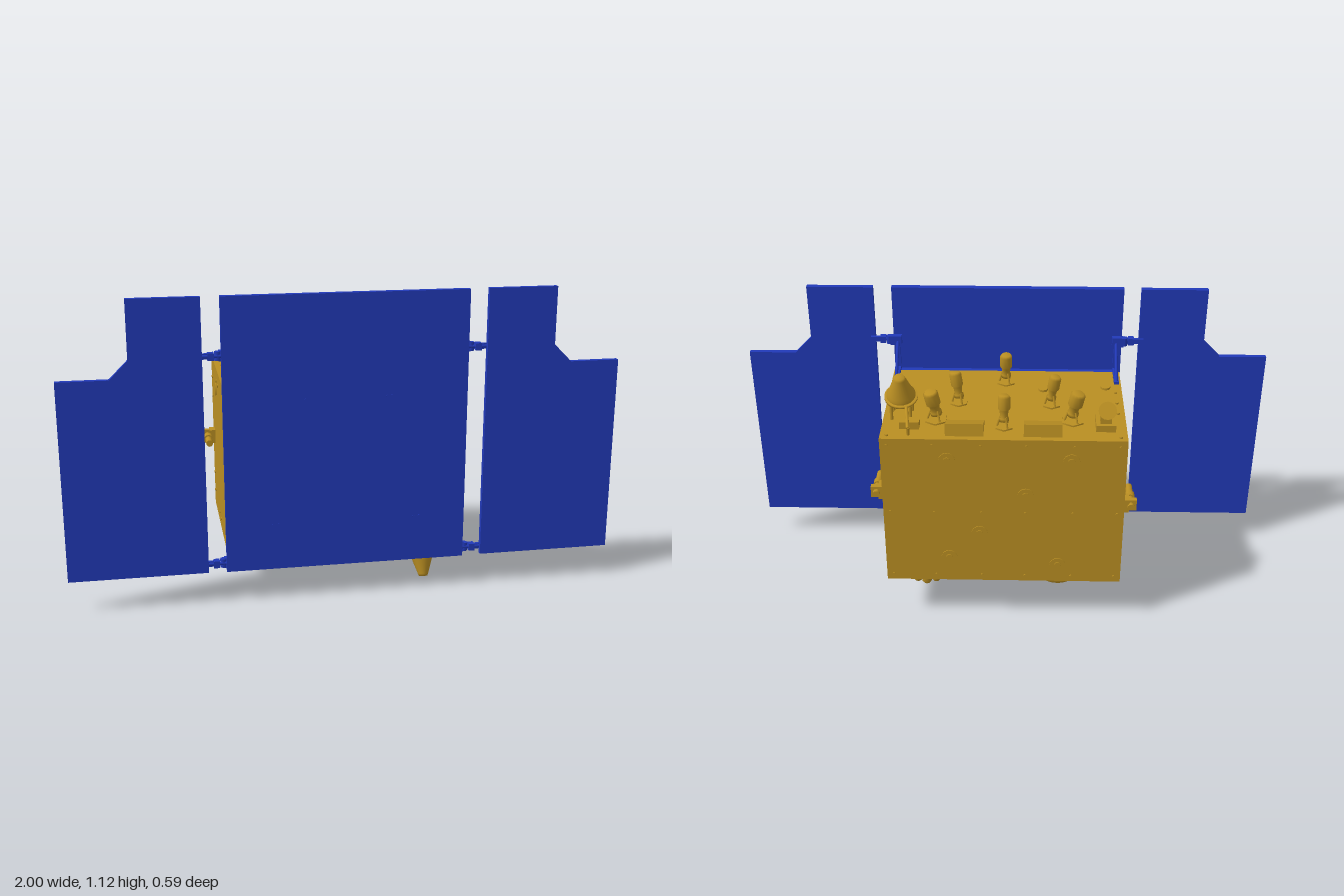
import * as THREE from 'three';

export function createModel() {
  const root = new THREE.Group();
  const gold = new THREE.MeshStandardMaterial({ color: 0xb98e22 });
  const blue = new THREE.MeshStandardMaterial({ color: 0x2139b8 });
  gold.name = 'gold foil';
  blue.name = 'solar blue';
  const V = (x, y, z) => new THREE.Vector3(x, y, z);
  const UP = V(0, 1, 0);

  function add(parent, name, geo, mat) {
    const m = new THREE.Mesh(geo, mat);
    m.name = name;
    parent.add(m);
    return m;
  }
  function group(name) {
    const g = new THREE.Group();
    g.name = name;
    root.add(g);
    return g;
  }
  // box given by its limits
  function box(parent, name, mat, x0, x1, y0, y1, z0, z1) {
    const m = add(parent, name, new THREE.BoxGeometry(x1 - x0, y1 - y0, z1 - z0), mat);
    m.position.set((x0 + x1) / 2, (y0 + y1) / 2, (z0 + z1) / 2);
    return m;
  }
  // cylinder or cone frustum from point a to point b
  function rod(parent, name, mat, a, b, ra, rb = ra, seg = 12) {
    const d = b.clone().sub(a);
    const m = add(parent, name, new THREE.CylinderGeometry(rb, ra, d.length(), seg), mat);
    m.position.copy(a).addScaledVector(d, 0.5);
    m.quaternion.setFromUnitVectors(UP, d.normalize());
    return m;
  }
  // revolved profile whose axis starts at p and points along dir
  function lathe(parent, name, mat, pts, p, dir, seg = 24) {
    const m = add(parent, name, new THREE.LatheGeometry(pts.map(q => new THREE.Vector2(...q)), seg), mat);
    m.position.copy(p);
    m.quaternion.setFromUnitVectors(UP, dir.clone().normalize());
    return m;
  }

  // main body
  const TOP = 0.785, BOT = 0.175;
  box(root, 'body', gold, -0.435, 0.435, BOT, TOP, -0.293, 0.235);

  // centre solar panel and the sheet behind it
  box(root, 'centrePanel', blue, -0.44, 0.435, 0.115, 1.115, 0.265, 0.289);
  box(root, 'frontSheet', blue, -0.41, 0.41, 0.162, TOP, 0.235, 0.254);
  const fasteners = group('panelFasteners');
  for (const [x, y] of [[-0.16, 0.745], [0.15, 0.745], [-0.26, 0.285], [0.255, 0.285]])
    for (const dx of [-0.01, 0.01])
      rod(fasteners, 'fastener', blue, V(x + dx, y, 0.288), V(x + dx, y, 0.291), 0.004, 0.004, 8);

  for (const s of [1, -1]) {
    const side = s > 0 ? 'left' : 'right';
    // stepped wing panel
    const shape = new THREE.Shape([[0.505, 0.115], [1, 0.115], [1, 0.84], [0.82, 0.84],
      [0.755, 0.905], [0.755, 1.115], [0.505, 1.115]].map(([x, y]) => new THREE.Vector2(s * x, y)));
    const wing = add(root, side + 'Wing', new THREE.ExtrudeGeometry(shape, { depth: 0.02, bevelEnabled: false }), blue);
    wing.position.z = 0.265;

    // hinges joining wing and centre panel
    const hinges = group(side + 'Hinges');
    for (const y of [0.905, 0.14]) {
      rod(hinges, 'hingePin', blue, V(s * 0.43, y, 0.264), V(s * 0.515, y, 0.264), 0.007);
      rod(hinges, 'hingeBarrel', blue, V(s * 0.45, y - 0.016, 0.258), V(s * 0.45, y + 0.016, 0.258), 0.012);
      box(hinges, 'hingeBlock', blue, s * 0.475 - 0.011, s * 0.475 + 0.011, y - 0.013, y + 0.013, 0.25, 0.277);
      box(hinges, 'hingePlate', blue, s * 0.50 - 0.022, s * 0.50 + 0.022, y - 0.01, y + 0.01, 0.255, 0.267);
      box(hinges, 'hingeFoot', blue, s * 0.425 - 0.022, s * 0.425 + 0.022, y - 0.018, y + 0.018, 0.243, 0.267);
    }

    // triangular brackets above and below the body
    const br = group(side + 'Bracket');
    const x = s * 0.418;
    box(br, 'post', blue, x - 0.009, x + 0.009, 0.125, 0.915, 0.243, 0.255);
    box(br, 'topRail', blue, x - 0.009, x + 0.009, TOP, 0.797, 0.13, 0.255);
    box(br, 'bottomRail', blue, x - 0.009, x + 0.009, 0.16, BOT, 0.18, 0.255);
    rod(br, 'topStrut', blue, V(x, 0.9, 0.247), V(x, 0.79, 0.135), 0.006, 0.006, 8);
    rod(br, 'bottomStrut', blue, V(x, 0.122, 0.255), V(x, 0.168, 0.182), 0.005, 0.005, 8);

    // instrument arm on the side wall
    const arm = group(side + 'SideArm');
    const y = s > 0 ? 0.525 : 0.48;
    box(arm, 'armMount', gold, s * 0.445 - 0.012, s * 0.445 + 0.012, y - 0.026, y + 0.026, -0.242, -0.195);
    box(arm, 'armHead', gold, s * 0.467 - 0.018, s * 0.467 + 0.018, y - 0.022, y + 0.022, -0.235, -0.215);
    rod(arm, 'armTube', gold, V(s * 0.464, y, -0.25), V(s * 0.464, y, -0.105), 0.013);
    rod(arm, 'armCollar', gold, V(s * 0.464, y, -0.19), V(s * 0.464, y, -0.16), 0.018);

    // side hatch and bolts
    const fit = group(side + 'SideFittings');
    rod(fit, 'sideHatch', gold, V(s * 0.434, 0.70, -0.085), V(s * 0.438, 0.70, -0.085), 0.025, 0.025, 8);
    for (const [z, by] of [[0.025, 0.74], [-0.05, 0.74], [0.025, 0.22], [-0.05, 0.22],
      [-0.24, 0.71], [-0.24, 0.635], [-0.24, 0.32], [-0.24, 0.245]])
      rod(fit, 'sideBolt', gold, V(s * 0.434, by, z), V(s * 0.439, by, z), 0.006, 0.006, 8);
  }

  // round fittings and bolts on the back wall
  const back = group('backFittings');
  for (const [x, y] of [[0.2, 0.70], [-0.24, 0.70], [-0.08, 0.555], [0.087, 0.39], [0.2, 0.28], [-0.2, 0.25]]) {
    rod(back, 'backDisc', gold, V(x, y, -0.292), V(x, y, -0.296), 0.03, 0.03, 16);
    rod(back, 'backHub', gold, V(x, y, -0.295), V(x, y, -0.299), 0.013, 0.013, 12);
  }
  for (const x of [-0.41, -0.25, -0.08, 0.08, 0.25, 0.41])
    for (const y of [0.2, 0.48, 0.76])
      rod(back, 'backBolt', gold, V(x, y, -0.292), V(x, y, -0.297), 0.005, 0.005, 8);
  const topBolts = group('topBolts');
  for (const x of [-0.41, 0.41])
    for (const z of [-0.27, -0.1, -0.02, 0.06, 0.19])
      rod(topBolts, 'topBolt', gold, V(x, TOP, z), V(x, TOP + 0.006, z), 0.006, 0.006, 8);

  // small tilted helix antennas on tripods
  function stubAntenna(x, z, tx, tz, r) {
    const g = group('stubAntenna');
    const dir = V(tx, 1, tz).normalize();
    const p = V(x, 0.822, z);
    rod(g, 'footPlate', gold, V(x, TOP - 0.001, z), V(x, TOP + 0.006, z), r * 1.6, r * 1.6, 6);
    for (let i = 0; i < 3; i++) {
      const a = i * Math.PI * 2 / 3;
      rod(g, 'leg', gold, V(x + Math.cos(a) * r * 1.2, TOP, z + Math.sin(a) * r * 1.2),
        V(x + Math.cos(a) * r * 0.6, 0.828, z + Math.sin(a) * r * 0.6), 0.004, 0.004, 6);
    }
    lathe(g, 'can', gold, [[0, -0.012], [r * 0.8, -0.012], [r * 0.8, 0], [r * 0.6, 0.004], [r * 0.75, 0.03],
      [r, 0.035], [r, 0.078], [r * 0.75, 0.086], [0, 0.086]], p, dir, 12);
  }
  stubAntenna(0, 0.14, 0, -0.14, 0.023);
  stubAntenna(-0.17, -0.035, -0.15, -0.1, 0.022);
  stubAntenna(0.17, -0.025, 0.15, 0.1, 0.022);
  stubAntenna(0, -0.2, 0, 0.12, 0.022);
  stubAntenna(-0.245, -0.155, -0.2, -0.15, 0.027);
  stubAntenna(0.245, -0.155, 0.2, -0.15, 0.027);

  // wedge covers on the roof
  for (const cx of [-0.138, 0.138]) {
    const wedge = new THREE.Shape([[0.27, 0], [0.165, 0], [0.18, 0.015], [0.262, 0.045]].map(q => new THREE.Vector2(...q)));
    const m = add(root, 'roofWedge', new THREE.ExtrudeGeometry(wedge, { depth: 0.135, bevelEnabled: false }), gold);
    m.rotation.y = Math.PI / 2;
    m.position.set(cx - 0.0675, TOP, 0);
  }
  // low roof hatches
  for (const [x, z] of [[-0.14, 0.08], [-0.375, 0.1], [0.36, 0.07]])
    rod(root, 'roofHatch', gold, V(x, TOP - 0.001, z), V(x, TOP + 0.008, z), 0.018, 0.018, 8);

  // large cone horn on a tilted round plate with legs
  function horn(name, base, dir, len, r, plateR, wallY) {
    const g = group(name);
    dir = dir.clone().normalize();
    lathe(g, 'plate', gold, [[0, -0.006], [plateR, -0.006], [plateR, 0.004], [0, 0.004]], base, dir);
    lathe(g, 'cone', gold, [[r, 0], [r, 0.012], [r * 0.88, 0.02], [r * 0.42, len * 0.9], [r * 0.34, len], [0, len]], base, dir);
    for (let i = 0; i < 4; i++) {
      const a = Math.PI / 4 + i * Math.PI / 2, k = plateR * 0.8;
      const o = V(Math.cos(a) * k, 0, Math.sin(a) * k);
      const top = o.clone().applyQuaternion(new THREE.Quaternion().setFromUnitVectors(UP, dir)).add(base);
      rod(g, 'leg', gold, top, V(base.x + o.x, wallY, base.z + o.z), 0.006, 0.006, 8);
    }
    return g;
  }
  const roofHorn = horn('roofHorn', V(0.37, 0.862, -0.12), V(0, 0.95, -0.3), 0.095, 0.052, 0.06, TOP);
  rod(roofHorn, 'plateArm', gold, V(0.35, 0.85, -0.15), V(0.335, 0.812, -0.268), 0.006);
  box(roofHorn, 'armFoot', gold, 0.3, 0.37, TOP, 0.812, -0.225, -0.185);
  rod(roofHorn, 'armLeg', gold, V(0.335, TOP, -0.262), V(0.335, 0.815, -0.266), 0.006);
  horn('bottomHorn', V(0.31, 0.09, 0.168), V(0, -0.085, 0.036), 0.092, 0.046, 0.052, BOT);

  // tilted sensor with flared barrel at the roof corner
  const sensor = group('roofSensor');
  box(sensor, 'sensorBase', gold, -0.395, -0.325, TOP, 0.81, -0.23, -0.14);
  box(sensor, 'sensorYoke', gold, -0.38, -0.34, 0.81, 0.85, -0.215, -0.165);
  rod(sensor, 'sensorBarrel', gold, V(-0.36, 0.832, -0.185), V(-0.36, 0.885, -0.255), 0.018, 0.032, 16);

  // lens cluster under the body
  const cluster = group('lensCluster');
  rod(cluster, 'clusterDrum', gold, V(0.3, BOT, -0.125), V(0.3, 0.1, -0.125), 0.078, 0.068, 8);
  for (let i = 0; i < 9; i++) {
    const a = i * Math.PI / 4, k = i < 8 ? 0.05 : 0;
    const p = V(0.3 + Math.cos(a) * k, 0.102, -0.125 + Math.sin(a) * k);
    lathe(cluster, 'lens', gold, [[0, 0.032], [0.012, 0.03], [0.019, 0.02], [0.019, 0]].reverse(), p, V(0, -1, 0), 12);
  }

  // ring collar under the body
  lathe(root, 'ringCollar', gold, [[0.065, 0], [0.065, 0.06], [0.072, 0.062], [0.072, 0.088], [0.056, 0.088],
    [0.056, 0.03], [0, 0.03]], V(-0.205, BOT, -0.12), V(0, -1, 0), 32);

  // main nozzle sensor under the body
  lathe(root, 'bottomNozzle', gold, [[0.026, 0], [0.026, 0.05], [0.02, 0.055], [0.02, 0.065], [0.034, 0.07],
    [0.034, 0.09], [0.026, 0.1], [0.028, 0.112], [0.02, 0.128], [0, 0.13]], V(-0.318, BOT, -0.015), V(0, -1, 0), 20);
  rod(root, 'bottomHatch', gold, V(-0.05, BOT + 0.001, 0.06), V(-0.05, BOT - 0.008, 0.06), 0.018, 0.018, 8);
  box(root, 'bottomBar', gold, -0.38, -0.36, BOT - 0.008, BOT, -0.2, -0.12);

  return root;
}
